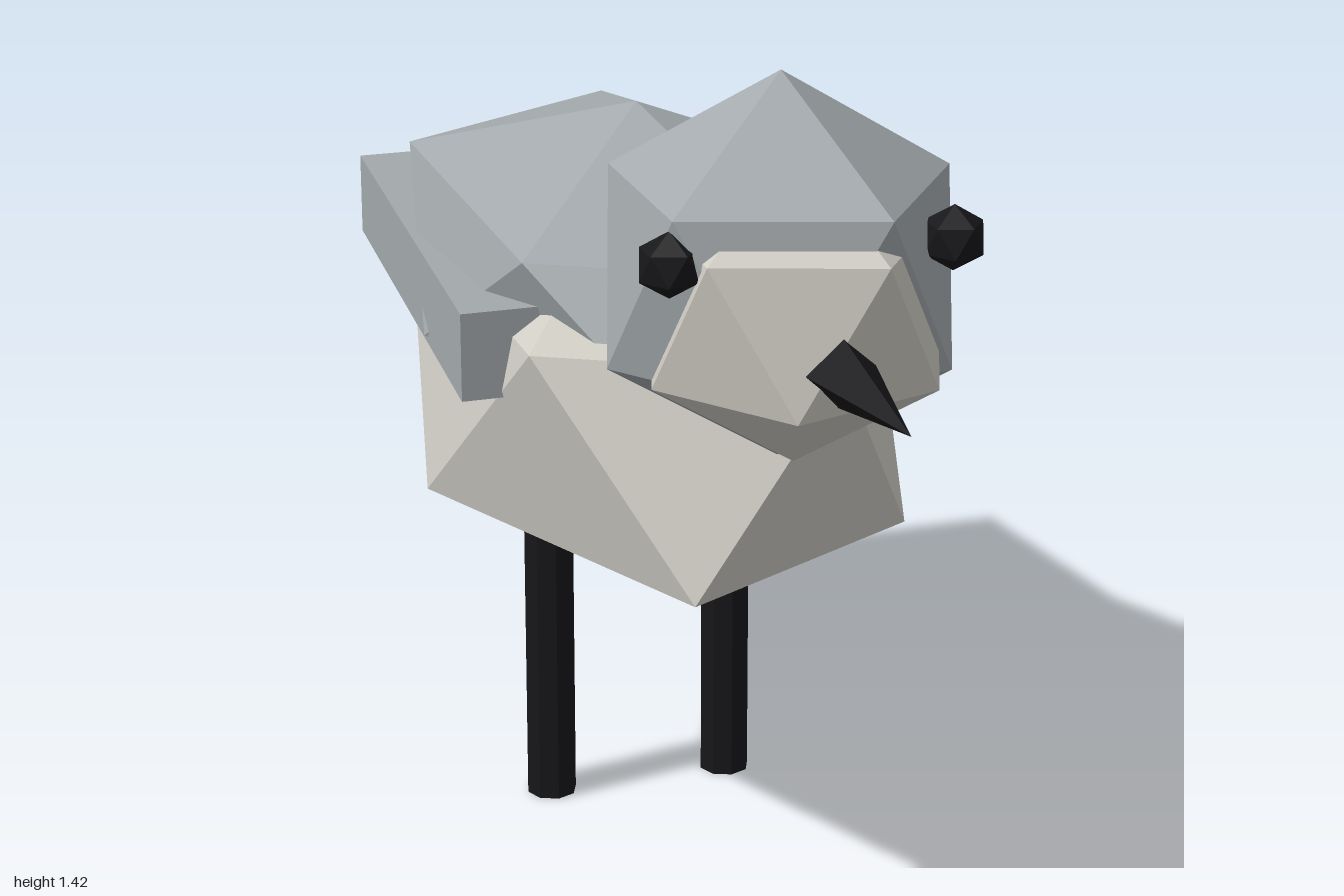
import * as THREE from 'three';
import { ConvexGeometry } from 'three/addons/geometries/ConvexGeometry.js';

const paint = (color) => new THREE.MeshStandardMaterial({ color, flatShading: true });

// Icosahedron standing on a corner: two poles and two five-point rings
function icoBall(rx, ry, rz) {
  const points = [new THREE.Vector3(0, ry, 0), new THREE.Vector3(0, -ry, 0)];
  const h = 1 / Math.sqrt(5), r = 2 * h;
  for (let i = 0; i < 5; i++) {
    const a = (i / 5) * Math.PI * 2;
    const x = r * Math.cos(a), z = r * Math.sin(a);
    points.push(new THREE.Vector3(x * rx, h * ry, z * rz));
    points.push(new THREE.Vector3(-x * rx, -h * ry, -z * rz));
  }
  return new ConvexGeometry(points);
}

export function createModel() {
  const bird = new THREE.Group();
  bird.name = 'bird';
  const grey = paint(0xa3a9ac), pale = paint(0xcfccc4), black = paint(0x17171a);

  const add = (name, geometry, material, x, y, z) => {
    const mesh = new THREE.Mesh(geometry, material);
    mesh.name = name;
    mesh.position.set(x, y, z);
    bird.add(mesh);
    return mesh;
  };

  // Body and head masses
  add('belly', icoBall(0.42, 0.38, 0.7), pale, 0, 0.77, -0.155);
  add('back', icoBall(0.4, 0.248, 0.67), grey, 0, 0.947, -0.225);
  add('head', icoBall(0.29, 0.29, 0.29), grey, 0, 1.13, 0.47);
  add('face', icoBall(0.24, 0.24, 0.24), pale, 0, 1.095, 0.54);

  // Wings and tail: one slab, narrowing and dropping toward the rear
  const slab = new THREE.BoxGeometry(0.77, 0.14, 1.12);
  const p = slab.attributes.position;
  for (let i = 0; i < p.count; i++) {
    if (p.getZ(i) < 0) {
      p.setX(i, Math.sign(p.getX(i)) * 0.28);
      p.setY(i, p.getY(i) - 0.067);
    }
  }
  slab.computeVertexNormals();
  add('wingsAndTail', slab, grey, 0, 0.914, -0.44);

  // Four-sided beak
  const beak = new THREE.ConeGeometry(0.06, 0.3, 4);
  beak.rotateX(Math.PI / 2);
  add('beak', beak, black, 0, 1.055, 0.85);

  // Paired eyes and legs
  for (const [side, s] of [['left', 1], ['right', -1]]) {
    add(side + 'Eye', icoBall(0.049, 0.049, 0.049), black, s * 0.211, 1.195, 0.613);
    add(side + 'Leg', new THREE.CylinderGeometry(0.042, 0.042, 0.495, 8), black, s * 0.154, 0.2475, -0.228);
  }
  return bird;
}
